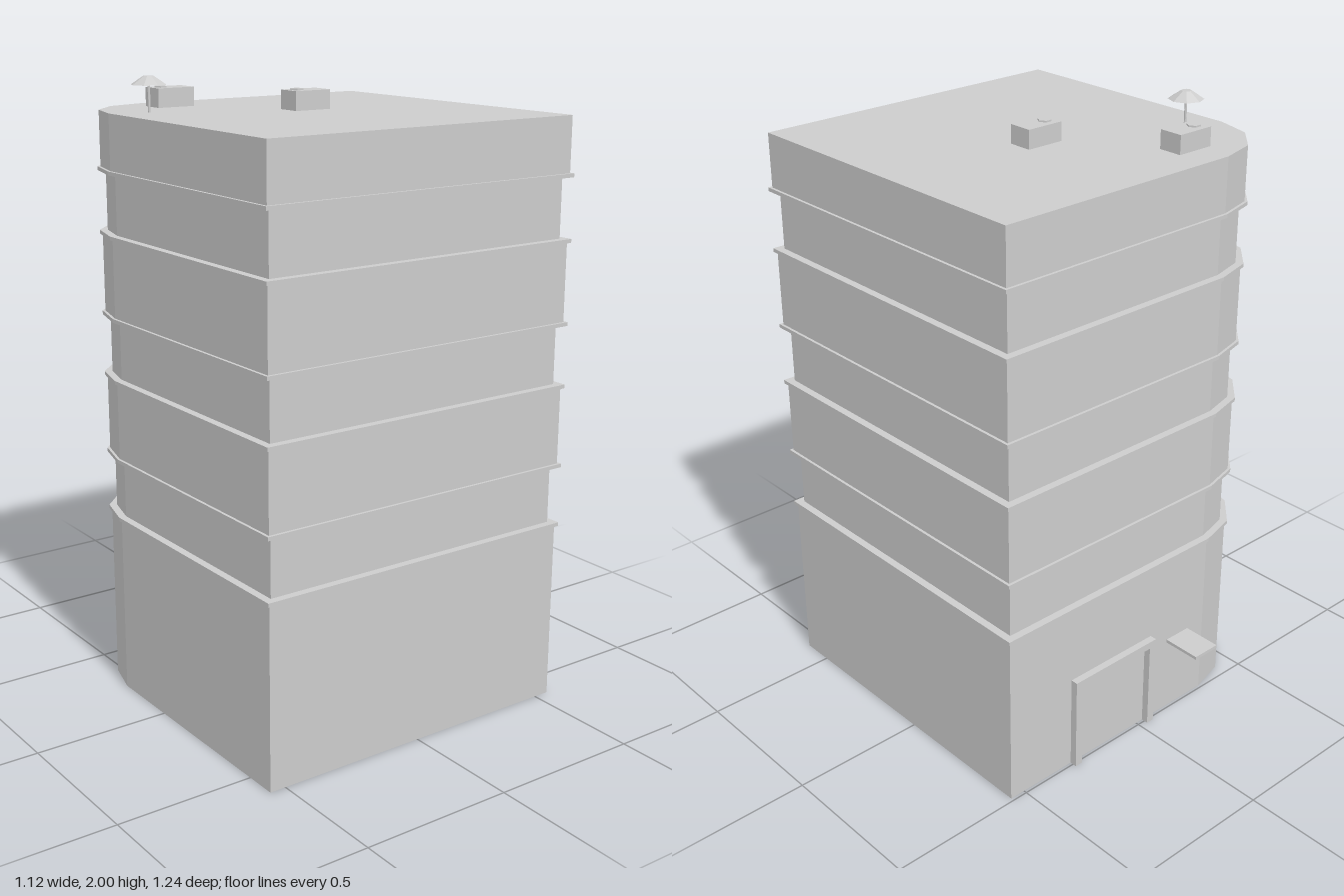
import * as THREE from 'three';

export function createModel() {
  const building = new THREE.Group();
  building.name = 'officeBuilding';
  const grey = new THREE.MeshStandardMaterial({ color: 0xcccccc, flatShading: true });
  grey.name = 'plain grey';

  const add = (name, geometry, parent = building) => {
    const mesh = new THREE.Mesh(geometry, grey);
    mesh.name = name;
    parent.add(mesh);
    return mesh;
  };

  // Box given by its limits on each axis
  const box = (name, x0, x1, y0, y1, z0, z1, parent) => {
    const mesh = add(name, new THREE.BoxGeometry(x1 - x0, y1 - y0, z1 - z0), parent);
    mesh.position.set((x0 + x1) / 2, (y0 + y1) / 2, (z0 + z1) / 2);
    return mesh;
  };

  // Floor slab with one rounded back corner; grow moves the outline outwards
  const slab = (name, y0, y1, grow) => {
    const x = 0.553 + grow, front = 0.606 + grow, back = -0.489 - grow;
    const r = 0.248 + grow;
    const outline = [[-x, front], [x, front], [x, back]];
    for (let i = 3; i >= 0; i--) {
      const a = (i / 3) * Math.PI / 2;
      outline.push([-x + r - r * Math.cos(a), back + r - r * Math.sin(a)]);
    }
    const shape = new THREE.Shape(outline.map(([px, pz]) => new THREE.Vector2(px, -pz)));
    const geometry = new THREE.ExtrudeGeometry(shape, { depth: y1 - y0, bevelEnabled: false });
    geometry.rotateX(-Math.PI / 2);
    add(name, geometry).position.y = y0;
  };

  // Storeys alternate between full and recessed, with a ledge at every change
  const levels = [0, 0.592, 0.79, 1.05, 1.25, 1.51, 1.71, 1.89];
  for (let i = 0; i < levels.length - 1; i++) {
    const recessed = i % 2 === 1;
    slab(recessed ? 'windowBand' : 'wallBand', levels[i], levels[i + 1], recessed ? -0.016 : 0);
    if (i > 0) slab('ledge', levels[i] - 0.006, levels[i] + 0.006, 0.009);
  }

  // Door frame and small canopy on the back wall
  const door = new THREE.Group();
  door.name = 'doorFrame';
  building.add(door);
  box('doorPost', -0.055, -0.028, 0, 0.325, -0.513, -0.485, door);
  box('doorPost', 0.272, 0.299, 0, 0.325, -0.513, -0.485, door);
  box('doorLintel', -0.028, 0.272, 0.3, 0.325, -0.513, -0.485, door);
  box('canopy', -0.232, -0.133, 0.262, 0.273, -0.62, -0.48);

  // Rooftop air units, each with a six-sided fan cap
  for (const [x, z] of [[-0.274, -0.347], [0.016, -0.014]]) {
    const unit = new THREE.Group();
    unit.name = 'airUnit';
    unit.position.set(x, 1.89, z);
    building.add(unit);
    box('unitBody', -0.065, 0.065, 0, 0.06, -0.04, 0.04, unit);
    const cap = new THREE.CylinderGeometry(0.022, 0.022, 0.008, 6);
    cap.rotateY(Math.PI / 2);
    add('fanCap', cap, unit).position.set(-0.033, 0.061, 0);
  }

  // Rooftop vent: thin pole with an eight-sided hood
  const vent = new THREE.Group();
  vent.name = 'roofVent';
  vent.position.set(-0.439, 1.89, -0.192);
  building.add(vent);
  add('ventPole', new THREE.CylinderGeometry(0.004, 0.004, 0.09, 8), vent).position.y = 0.045;
  add('ventHood', new THREE.CylinderGeometry(0.016, 0.056, 0.026, 8), vent).position.y = 0.097;

  return building;
}
